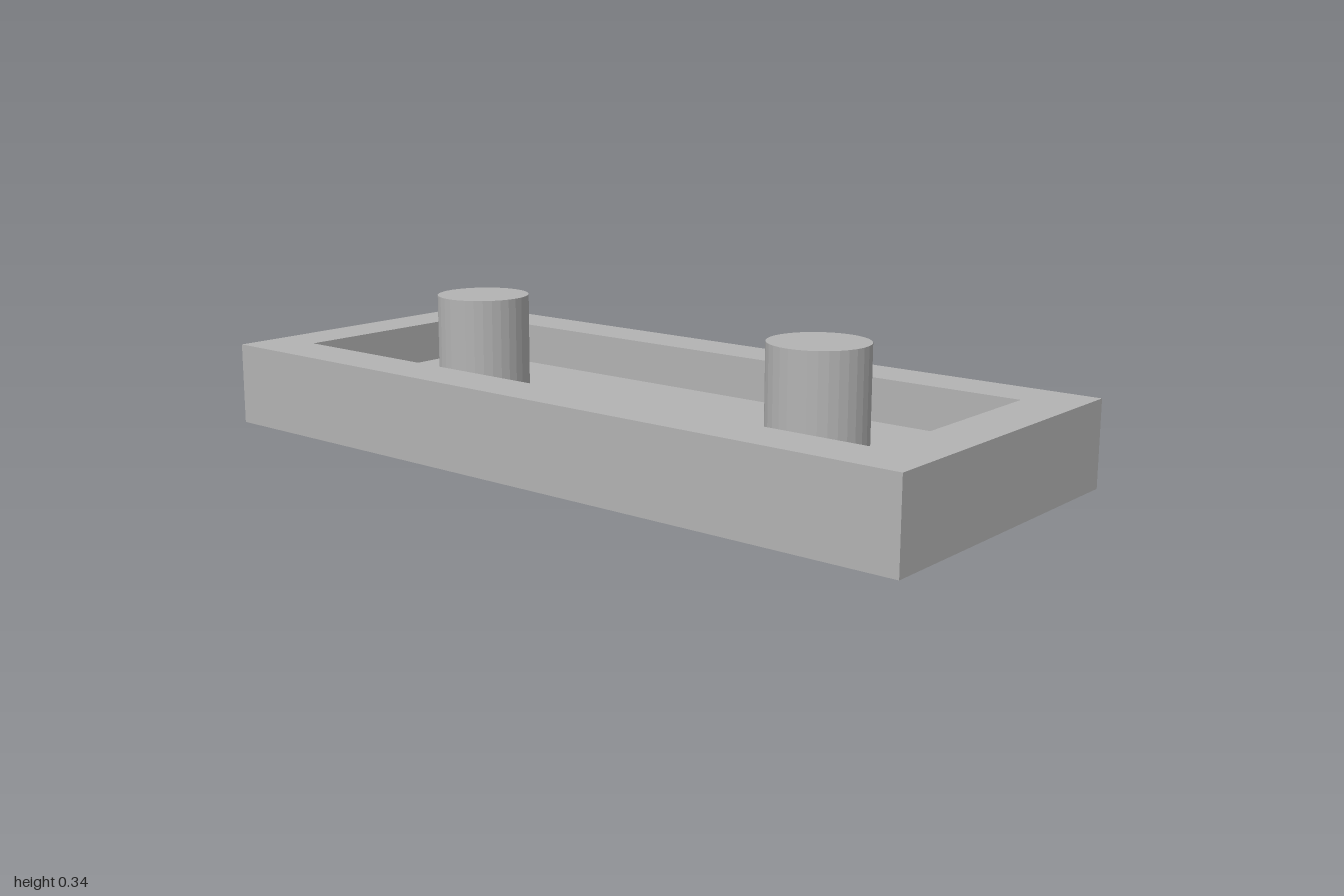
import * as THREE from 'three';

const HALF_W = 0.419, HALF_L = 1, BOTTOM = 0.003, TOP = 0.211;
const POCKET_W = 0.288, POCKET_L = 0.87, FLOOR = 0.105;
const POST_R = 0.118, POST_TOP = 0.342, POST_Z = 0.526;

// Rectangle outline centred on the origin
function rectangle(PathType, hw, hl) {
  return new PathType([
    new THREE.Vector2(-hw, -hl), new THREE.Vector2(hw, -hl),
    new THREE.Vector2(hw, hl), new THREE.Vector2(-hw, hl),
  ]);
}

export function createModel() {
  const group = new THREE.Group();
  group.name = 'trayWithPosts';
  const grey = new THREE.MeshStandardMaterial({ color: 0xb3b3b3, flatShading: true });
  grey.name = 'plainGrey';

  function add(name, geometry, x, y, z) {
    const mesh = new THREE.Mesh(geometry, grey);
    mesh.name = name;
    mesh.position.set(x, y, z);
    group.add(mesh);
  }

  // Rim: rectangular frame around the pocket
  const outline = rectangle(THREE.Shape, HALF_W, HALF_L);
  outline.holes.push(rectangle(THREE.Path, POCKET_W, POCKET_L));
  const rim = new THREE.ExtrudeGeometry(outline, { depth: TOP - BOTTOM, bevelEnabled: false });
  rim.rotateX(-Math.PI / 2);
  add('rim', rim, 0, BOTTOM, 0);

  // Pocket floor closing the frame
  const thickness = FLOOR - BOTTOM;
  add('pocketFloor', new THREE.BoxGeometry(POCKET_W * 2, thickness, POCKET_L * 2),
    0, BOTTOM + thickness / 2, 0);

  // Posts run through the floor and just show underneath
  for (const [name, side] of [['frontPost', 1], ['backPost', -1]]) {
    add(name, new THREE.CylinderGeometry(POST_R, POST_R, POST_TOP, 32), 0, POST_TOP / 2, side * POST_Z);
  }
  return group;
}
